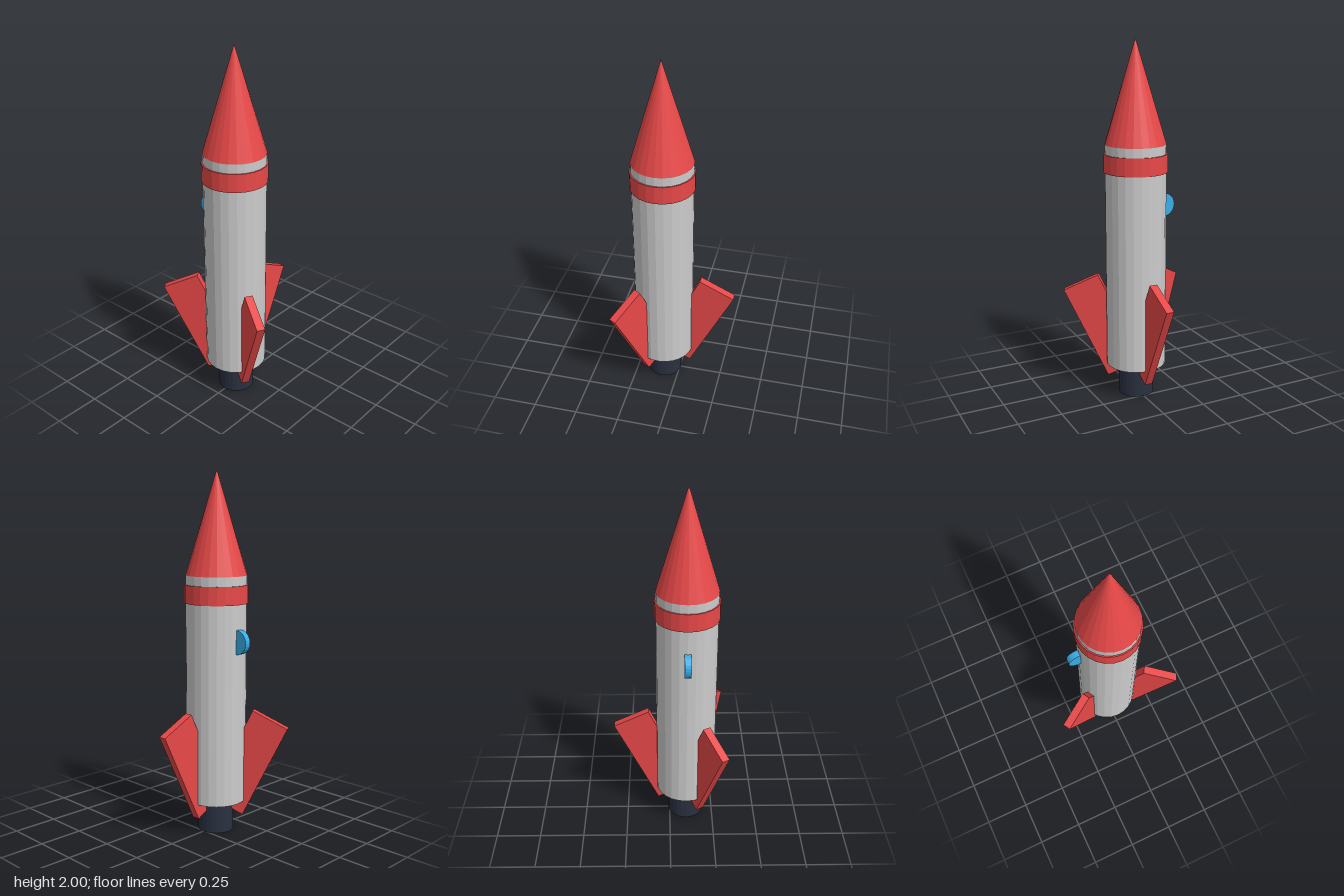
import * as THREE from 'three';

const SIDES = 24;
const paint = (color) => new THREE.MeshStandardMaterial({ color, flatShading: true });

export function createModel() {
  const rocket = new THREE.Group();
  rocket.name = 'rocket';
  rocket.position.x = -0.093; // the single side fin offsets the hull axis

  const red = paint(0xe84848);
  const grey = paint(0xcccccc);
  const dark = paint(0x2a3040);
  const blue = paint(0x38aee8);

  const add = (name, geometry, material, parent = rocket) => {
    const mesh = new THREE.Mesh(geometry, material);
    mesh.name = name;
    parent.add(mesh);
    return mesh;
  };

  // Upright round parts: bottom radius, top radius, bottom y, top y
  const round = (name, bottom, top, y0, y1, material) => {
    const geometry = top > 0
      ? new THREE.CylinderGeometry(top, bottom, y1 - y0, SIDES)
      : new THREE.ConeGeometry(bottom, y1 - y0, SIDES);
    add(name, geometry, material).position.y = (y0 + y1) / 2;
  };
  round('engineNozzle', 0.1, 0.1, 0, 0.2, dark);
  round('body', 0.168, 0.168, 0.18, 1.44, grey);
  round('collarBand', 0.175, 0.175, 1.29, 1.39, red);
  round('noseCone', 0.168, 0, 1.44, 2, red);

  // Round window disc, half sunk into the back of the hull
  const porthole = add('porthole', new THREE.CylinderGeometry(0.066, 0.066, 0.036, SIDES), blue);
  porthole.rotation.z = Math.PI / 2;
  porthole.position.set(0, 1.09, -0.167);

  // Three slanted fins spaced evenly around the axis
  for (let i = 0; i < 3; i++) {
    const mount = new THREE.Group();
    mount.name = `finMount${i + 1}`;
    mount.rotation.y = (i * Math.PI * 2) / 3;
    const fin = add('fin', new THREE.BoxGeometry(0.215, 0.568, 0.045), red, mount);
    fin.position.set(0.186, 0.4, 0);
    fin.rotation.z = -0.45;
    rocket.add(mount);
  }

  const model = new THREE.Group();
  model.name = 'rocketModel';
  model.add(rocket);
  return model;
}
